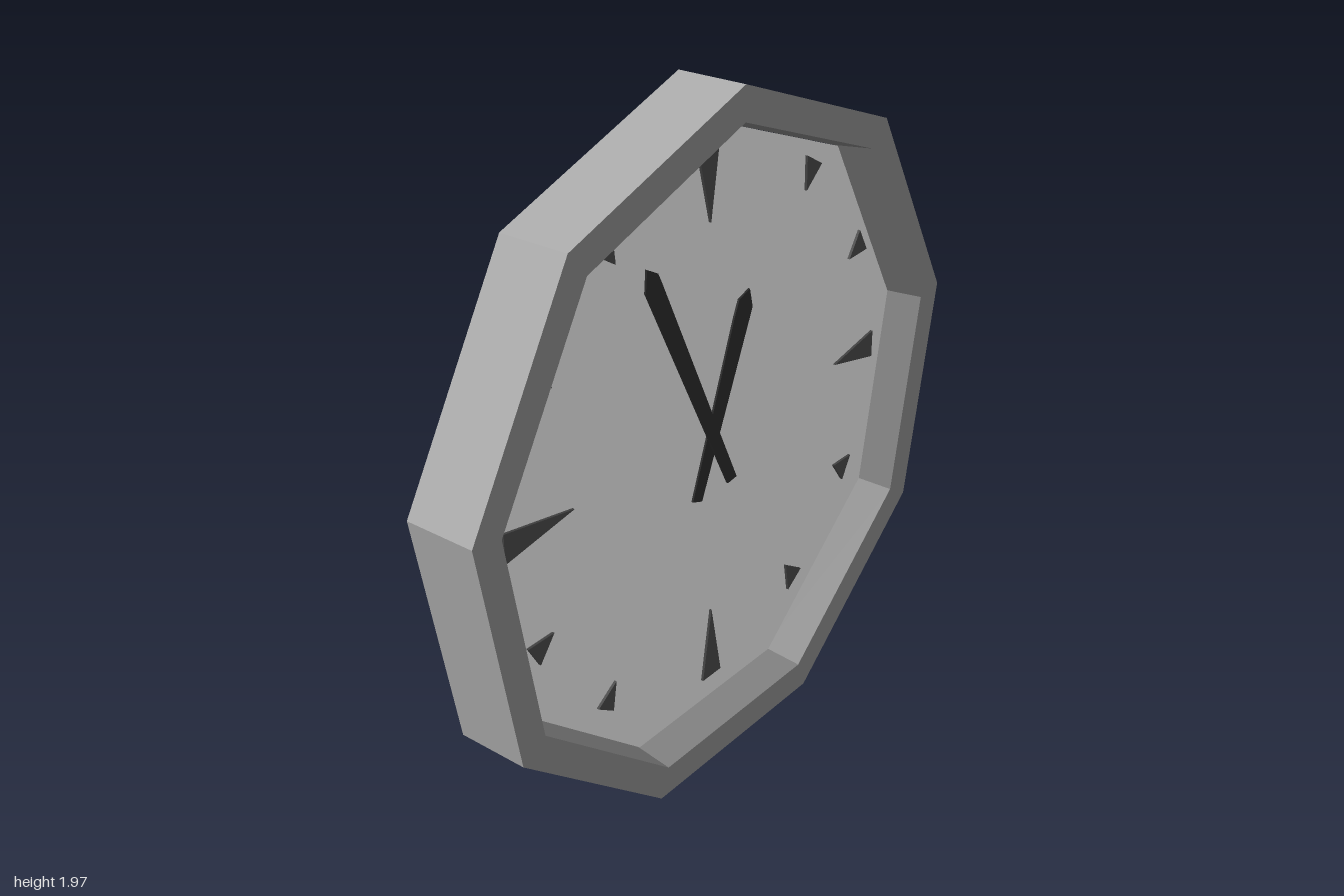
import * as THREE from 'three';

const mat = (name, color, double) => new THREE.MeshStandardMaterial({
  name, color, flatShading: true, side: double ? THREE.DoubleSide : THREE.FrontSide,
});

const SIDES = 9, OUTER = 1.015, RIM = 0.92, FACE = 0.905;
const FRONT = 0.105, BACK = -0.105, DIAL = -0.005, DIAL_BACK = -0.018;
const START = Math.PI / 2; // one corner points straight up

export function createModel() {
  const frameDark = mat('frame dark grey', 0x818181, true);
  const frameSide = mat('frame side grey', 0xa8a8a8, true);
  const dialGrey = mat('dial light grey', 0xd8d8d8);
  const backGrey = mat('back pale grey', 0xe4e4e4);
  const markGrey = mat('mark charcoal', 0x414141);
  const handBlack = mat('hand black', 0x262626);

  const model = new THREE.Group();
  model.name = 'wallClock';
  const add = (parent, name, geometry, material) => {
    const mesh = new THREE.Mesh(geometry, material);
    mesh.name = name;
    parent.add(mesh);
    return mesh;
  };

  // Nine-sided case, turned very slightly clockwise
  const body = new THREE.Group();
  body.name = 'case';
  body.position.y = 0.957;
  body.rotation.z = -0.009;
  model.add(body);

  // Open band running from z0 (back) to z1 (front)
  const band = (rFront, rBack, z1, z0) =>
    new THREE.CylinderGeometry(rFront, rBack, z1 - z0, SIDES, 1, true)
      .rotateX(Math.PI / 2).rotateZ(Math.PI).translate(0, 0, (z0 + z1) / 2);

  add(body, 'outerWall', band(OUTER, OUTER, FRONT, BACK), frameSide);
  add(body, 'frontRim', new THREE.RingGeometry(RIM, OUTER, SIDES, 1, START)
    .translate(0, 0, FRONT), frameDark);
  add(body, 'innerWall', band(RIM, FACE, FRONT, DIAL_BACK), frameDark);
  add(body, 'dial', new THREE.CircleGeometry(FACE, SIDES, START)
    .translate(0, 0, DIAL), dialGrey);
  add(body, 'dialBack', new THREE.CircleGeometry(FACE, SIDES, START)
    .rotateY(Math.PI).translate(0, 0, DIAL_BACK), backGrey);

  // Thin flat plate from an outline
  const plate = (points, z, depth) => new THREE.ExtrudeGeometry(
    new THREE.Shape(points.map(([x, y]) => new THREE.Vector2(x, y))),
    { depth, bevelEnabled: false }).translate(0, 0, z);

  // Hour marks, from twelve onwards
  const marks = [
    [[-0.045, 1.785], [0.035, 1.785], [0.003, 1.595]],
    [[0.43, 1.66], [0.50, 1.62], [0.43, 1.56]],
    [[0.71, 1.36], [0.75, 1.29], [0.66, 1.285]],
    [[0.805, 1.005], [0.805, 0.92], [0.605, 0.965]],
    [[0.62, 0.615], [0.71, 0.615], [0.67, 0.545]],
    [[0.375, 0.375], [0.455, 0.325], [0.39, 0.28]],
    [[-0.035, 0.18], [0.048, 0.18], [0.005, 0.41]],
    [[-0.49, 0.35], [-0.415, 0.40], [-0.43, 0.31]],
    [[-0.74, 0.685], [-0.645, 0.685], [-0.70, 0.615]],
    [[-0.80, 1.05], [-0.80, 0.965], [-0.55, 1.005]],
    [[-0.67, 1.43], [-0.61, 1.365], [-0.70, 1.355]],
    [[-0.45, 1.65], [-0.38, 1.685], [-0.37, 1.60]],
  ];
  const hourMarks = new THREE.Group();
  hourMarks.name = 'hourMarks';
  model.add(hourMarks);
  marks.forEach((m, i) => add(hourMarks, `hourMark${i || 12}`, plate(m, DIAL, 0.008), markGrey));

  // Hub and hands
  add(model, 'hub', new THREE.CircleGeometry(0.065, 24).translate(0, 0.98, 0.003), dialGrey);
  add(model, 'minuteHand', plate([
    [0.06, 0.81], [0.10, 0.815], [-0.215, 1.505], [-0.23, 1.535],
    [-0.272, 1.558], [-0.278, 1.495],
  ], 0.012, 0.006), handBlack);
  add(model, 'hourHand', plate([
    [-0.088, 0.813], [-0.048, 0.798], [0.175, 1.305], [0.162, 1.362],
    [0.115, 1.345], [0.095, 1.30],
  ], 0.005, 0.006), handBlack);

  return model;
}
